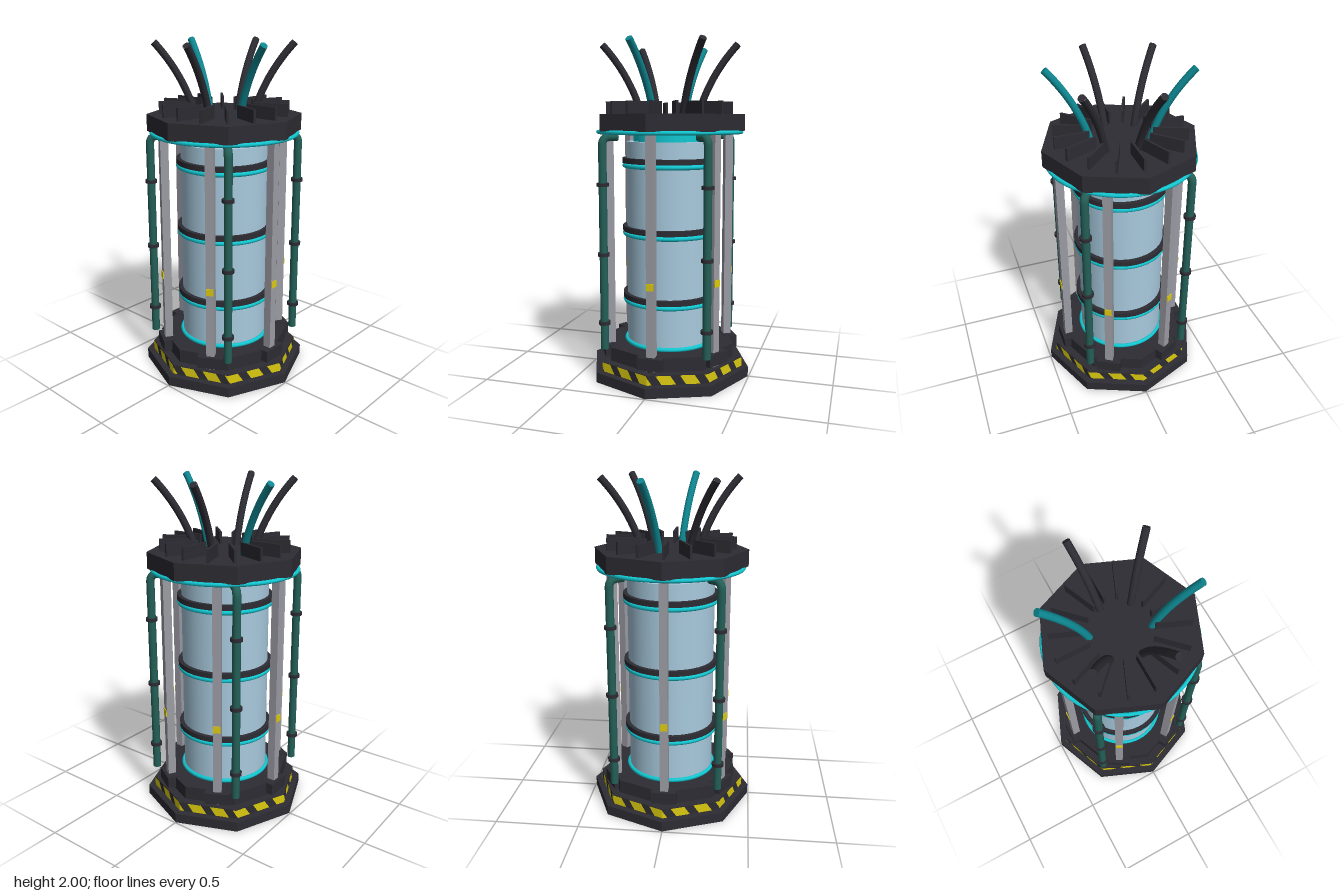
import * as THREE from 'three';

const mat = (name, color) => Object.assign(new THREE.MeshStandardMaterial({ color }), { name });

export function createModel() {
  const model = new THREE.Group();
  model.name = 'powerCoreTank';
  const dark = mat('dark metal', 0x2c2c33);
  const glass = mat('pale blue core', 0xa8cade);
  const cyan = mat('bright cyan', 0x12c8d2);
  const teal = mat('teal hose', 0x0d8690);
  const green = mat('green pipe', 0x246058);
  const steel = mat('grey steel', 0x9b9ba4);
  const yellow = mat('hazard yellow', 0xdccb10);

  function add(name, geometry, material, x = 0, y = 0, z = 0, parent = model) {
    const mesh = new THREE.Mesh(geometry, material);
    mesh.name = name;
    mesh.position.set(x, y, z);
    parent.add(mesh);
    return mesh;
  }

  // Vertical drum between two heights; eight sides give a flat octagon
  function drum(name, r, y0, y1, material, sides = 40, rBottom = r) {
    let g = new THREE.CylinderGeometry(r, rBottom, y1 - y0, sides);
    if (sides === 8) {
      g = g.toNonIndexed();
      g.computeVertexNormals();
    }
    return add(name, g, material, 0, (y0 + y1) / 2, 0);
  }

  function ring(name, r, tube, y, material) {
    return add(name, new THREE.TorusGeometry(r, tube, 8, 48).rotateX(Math.PI / 2), material, 0, y, 0);
  }

  // Group turned so that its local +x points outward at the given angle
  function spoke(name, degrees) {
    const group = new THREE.Group();
    group.name = name;
    group.rotation.y = -THREE.MathUtils.degToRad(degrees);
    model.add(group);
    return group;
  }

  // Stepped base and lid
  drum('basePlate', 0.495, 0, 0.06, dark, 8);
  drum('hazardBand', 0.452, 0.06, 0.118, dark, 8);
  drum('baseCollar', 0.4, 0.118, 0.2, dark, 8);
  drum('lid', 0.453, 1.482, 1.58, dark, 8);
  ring('lidGlowRing', 0.427, 0.012, 1.476, cyan);

  // Slanted stripes wrapped round the octagonal band
  const step = Math.PI / 4;
  for (let i = 0; i < 20; i++) {
    const g = new THREE.PlaneGeometry(1, 1, 12, 4);
    const p = g.attributes.position;
    for (let j = 0; j < p.count; j++) {
      const u = p.getX(j), v = p.getY(j);
      const s = i * 0.4 - 0.09 + u * 0.24 - v * 0.1;
      const k = Math.floor(s), t = s - k, r = 0.456;
      const a = k * step, b = a + step;
      p.setXYZ(j,
        r * ((1 - t) * Math.sin(a) + t * Math.sin(b)),
        0.09 + v * 0.054,
        r * ((1 - t) * Math.cos(a) + t * Math.cos(b)));
    }
    g.computeVertexNormals();
    add('hazardStripe', g, yellow);
  }

  // Central core with its bands
  drum('core', 0.26, 0.2, 1.42, glass);
  drum('coreCap', 0.217, 1.42, 1.482, cyan);
  ring('coreFootRing', 0.265, 0.013, 0.209, cyan);
  for (const y of [0.49, 0.9, 1.308]) {
    drum('coreBand', 0.285, y - 0.015, y + 0.016, dark);
    ring('coreGlowRing', 0.272, 0.014, y - 0.03, cyan);
  }

  // Six square struts with feet and yellow markers
  for (let i = 0; i < 6; i++) {
    const s = spoke('strut', i * 60);
    add('strutPost', new THREE.BoxGeometry(0.048, 1.37, 0.048), steel, 0.368, 0.797, 0, s);
    add('strutFoot', new THREE.BoxGeometry(0.075, 0.07, 0.15), dark, 0.376, 0.168, 0, s);
    add('strutMarker', new THREE.BoxGeometry(0.008, 0.042, 0.042), yellow, 0.393, 0.615, 0, s);
  }

  // Four corner pipes bending inward below the lid, with clamps
  const pipePath = new THREE.CurvePath();
  const v = (x, y) => new THREE.Vector3(x, y, 0);
  pipePath.add(new THREE.LineCurve3(v(0.438, 0.2), v(0.438, 1.405)));
  pipePath.add(new THREE.QuadraticBezierCurve3(v(0.438, 1.405), v(0.438, 1.45), v(0.393, 1.45)));
  pipePath.add(new THREE.LineCurve3(v(0.393, 1.45), v(0.345, 1.45)));
  const pipeGeometry = new THREE.TubeGeometry(pipePath, 120, 0.024, 12);
  for (let i = 0; i < 4; i++) {
    const s = spoke('cornerPipe', 45 + i * 90);
    add('pipe', pipeGeometry, green, 0, 0, 0, s);
    add('pipeLowerEnd', new THREE.CircleGeometry(0.024, 12).rotateX(Math.PI / 2), green, 0.438, 0.2, 0, s);
    add('pipeInnerEnd', new THREE.CircleGeometry(0.024, 12).rotateY(-Math.PI / 2), green, 0.345, 1.45, 0, s);
    for (const y of [0.36, 0.77, 1.178])
      add('pipeClamp', new THREE.CylinderGeometry(0.035, 0.035, 0.02, 14), dark, 0.438, y, 0, s);
  }

  // Radial cooling fins on the lid
  for (let i = 0; i < 16; i++) {
    const s = spoke('fin', i * 22.5);
    add('finPlate', new THREE.BoxGeometry(0.2, 0.08, 0.014), dark, 0.28, 1.613, 0, s);
  }

  // Six hoses curving up and outward, two of them teal
  const hosePath = new THREE.QuadraticBezierCurve3(v(0.165, 1.56), v(0.23, 1.8), v(0.4, 1.985));
  const tip = hosePath.getTangent(1);
  for (let i = 0; i < 6; i++) {
    const s = spoke('hose', 17 + i * 60);
    const m = i % 3 === 0 ? teal : dark;
    add('hoseTube', new THREE.TubeGeometry(hosePath, 20, 0.021, 12), m, 0, 0, 0, s);
    const end = add('hoseEnd', new THREE.CircleGeometry(0.021, 12), m, 0.4, 1.985, 0, s);
    end.quaternion.setFromUnitVectors(new THREE.Vector3(0, 0, 1), tip);
  }

  return model;
}
